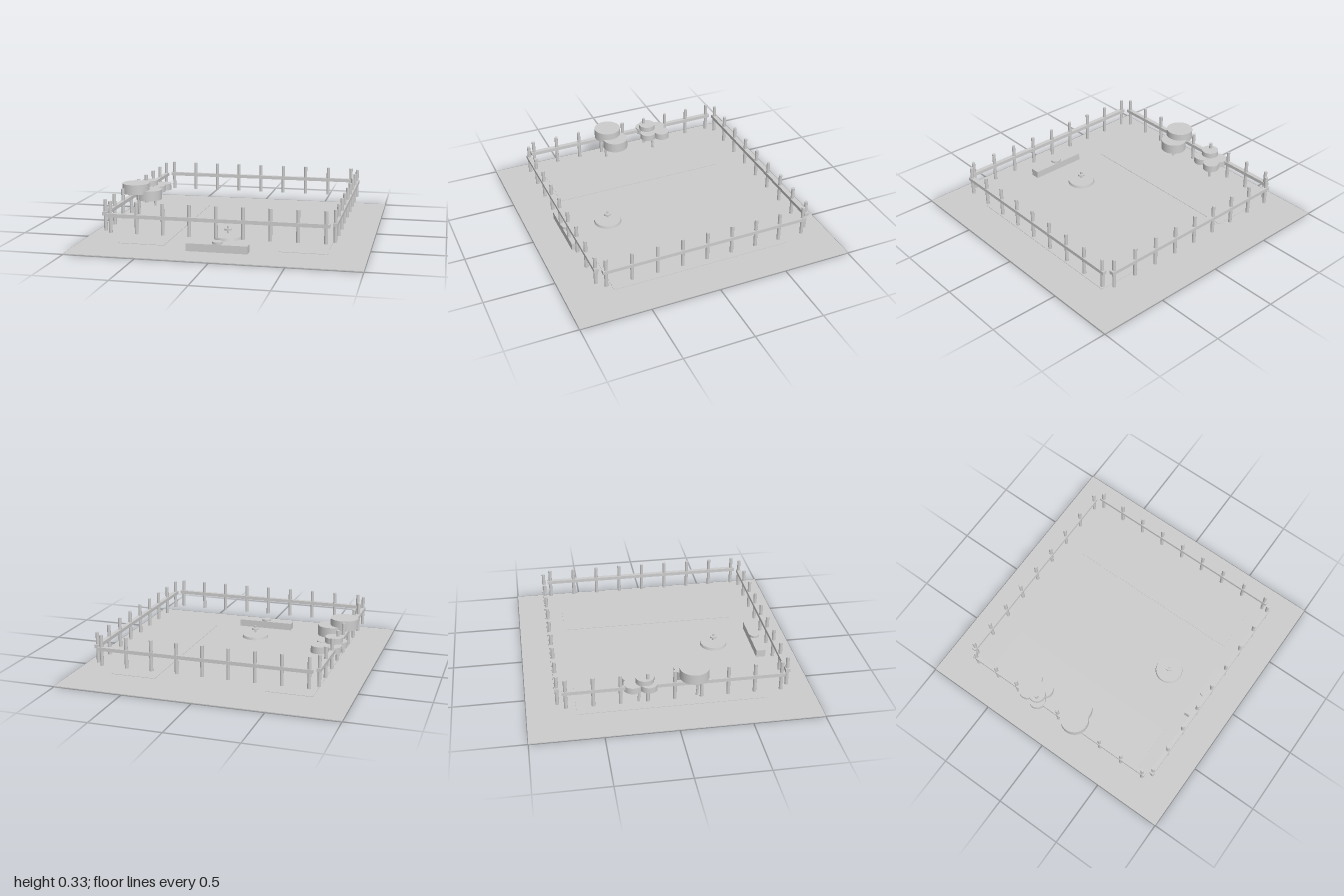
import * as THREE from 'three';

export function createModel() {
  const root = new THREE.Group();
  root.name = 'fencedGarden';
  const grey = new THREE.MeshStandardMaterial({ color: 0xcccccc });
  grey.name = 'plain grey';

  const add = (parent, name, geo, x, y, z) => {
    const m = new THREE.Mesh(geo, grey);
    m.name = name;
    m.position.set(x, y, z);
    parent.add(m);
    return m;
  };
  // Both helpers place a solid between heights y0 and y1
  const box = (parent, name, w, d, x, z, y0, y1) =>
    add(parent, name, new THREE.BoxGeometry(w, y1 - y0, d), x, (y0 + y1) / 2, z);
  const disc = (parent, name, r, x, z, y0, y1, rBottom = r, sides = 40) =>
    add(parent, name, new THREE.CylinderGeometry(r, rBottom, y1 - y0, sides), x, (y0 + y1) / 2, z);
  const group = (name) => {
    const g = new THREE.Group();
    g.name = name;
    root.add(g);
    return g;
  };

  // Ground slab and the two thin beds along the sides
  box(root, 'ground', 2, 2, 0, 0, 0, 0.006);
  for (const s of [-1, 1]) box(root, 'sideBed', 0.33, 1.32, s * 0.565, 0, 0.006, 0.009);

  // Fence: four identical sides, each with a rail and nine posts
  const fenceAt = 0.788;
  for (let side = 0; side < 4; side++) {
    const fence = group('fenceSide');
    fence.rotation.y = side * Math.PI / 2;
    box(fence, 'rail', 1.516, 0.032, 0, fenceAt, 0.221, 0.246);
    for (let i = -4; i <= 4; i++)
      disc(fence, 'post', 0.0125, i * 0.1835, fenceAt, 0.113, 0.331, 0.0125, 16);
  }

  // Low bench with a round seat pad
  const bench = group('bench');
  box(bench, 'benchBlock', 0.424, 0.068, 0, 0.746, 0.01, 0.064);
  disc(bench, 'benchPad', 0.035, 0, 0.746, 0.064, 0.08);

  // Fountain: basin, stem and small upper bowl
  const fountain = group('fountain');
  disc(fountain, 'basin', 0.096, 0, 0.43, 0.024, 0.043, 0.1);
  disc(fountain, 'stem', 0.008, 0, 0.43, 0.06, 0.112, 0.008, 16);
  disc(fountain, 'bowl', 0.026, 0, 0.43, 0.082, 0.094);

  // Trees: slim leaning trunk under overlapping flat crowns [r, x, z, y0, y1]
  const tree = (name, trunk, crowns) => {
    const g = group(name);
    const [x, z, y0, y1] = trunk;
    disc(g, 'trunk', 0.009, x, z, y0, y1, 0.009, 12).rotation.x = 0.08;
    for (const [r, cx, cz, a, b] of crowns) disc(g, 'crown', r, cx, cz, a, b);
  };
  tree('largeTree', [-0.735, 0.169, 0.09, 0.26], [
    [0.1, -0.765, 0.136, 0.258, 0.331],
    [0.094, -0.674, 0.105, 0.207, 0.28],
  ]);
  tree('smallTree', [-0.735, -0.233, 0.08, 0.24], [
    [0.062, -0.763, -0.2, 0.24, 0.29],
    [0.065, -0.77, -0.28, 0.205, 0.25],
    [0.058, -0.68, -0.292, 0.2, 0.25],
    [0.058, -0.795, -0.177, 0.212, 0.255],
    [0.059, -0.697, -0.182, 0.205, 0.252],
  ]);

  return root;
}
